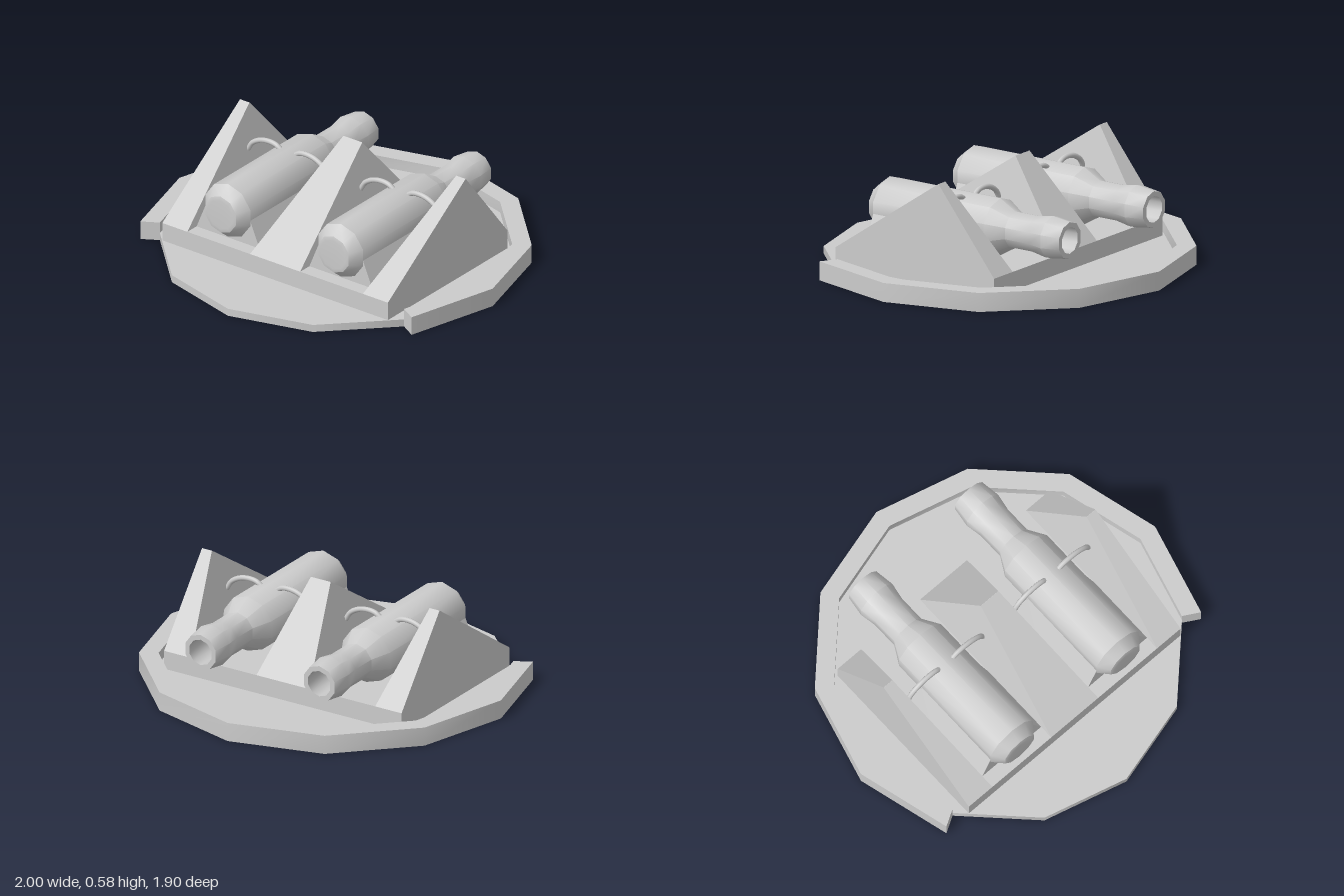
import * as THREE from 'three';
import { toCreasedNormals } from 'three/addons/utils/BufferGeometryUtils.js';

const CENTRE_Z = 0.05;

// Block from a bottom and a top rectangle, each [x0, x1, z0, z1]
function taperedBlock(bottom, top, y0, y1) {
  const geometry = new THREE.BoxGeometry(1, 1, 1);
  const p = geometry.attributes.position;
  for (let i = 0; i < p.count; i++) {
    const up = p.getY(i) > 0;
    const r = up ? top : bottom;
    p.setXYZ(i, r[p.getX(i) > 0 ? 1 : 0], up ? y1 : y0, r[p.getZ(i) > 0 ? 3 : 2]);
  }
  geometry.computeVertexNormals();
  return geometry;
}

// Rim channel, open below and at the front: outer wall, top, inner wall and two end caps
function rimGeometry() {
  const section = [[1, 0], [1, 0.1], [0.9, 0.1], [0.9, 0.04]];
  const steps = 8;
  const positions = [];
  const index = [];
  const quad = (a, b, c, d) => index.push(a, b, c, a, c, d);
  for (let i = 0; i <= steps; i++) {
    const a = ((i - 1) * Math.PI) / 6;
    for (const [r, y] of section) positions.push(r * Math.cos(a), y, CENTRE_Z - r * Math.sin(a));
    if (i === steps) continue;
    for (let k = i * 4; k < i * 4 + 3; k++) quad(k, k + 4, k + 5, k + 1);
  }
  // End caps, reaching down to the ground
  for (const i of [0, steps]) {
    const a = ((i - 1) * Math.PI) / 6;
    const foot = positions.length / 3;
    positions.push(0.9 * Math.cos(a), 0, CENTRE_Z - 0.9 * Math.sin(a));
    if (i === 0) quad(0, 1, 2, foot);
    else quad(foot, i * 4 + 2, i * 4 + 1, i * 4);
  }
  const geometry = new THREE.BufferGeometry();
  geometry.setAttribute('position', new THREE.Float32BufferAttribute(positions, 3));
  geometry.setIndex(index);
  geometry.computeVertexNormals();
  return toCreasedNormals(geometry, 0.56);
}

export function createModel() {
  const group = new THREE.Group();
  const flat = new THREE.MeshStandardMaterial({ color: 0xcccccc, flatShading: true });
  const smooth = new THREE.MeshStandardMaterial({ color: 0xcccccc });
  const open = new THREE.MeshStandardMaterial({ color: 0xcccccc, side: THREE.DoubleSide });

  const add = (geometry, name, material = flat) => {
    const mesh = new THREE.Mesh(geometry, material);
    mesh.name = name;
    group.add(mesh);
  };

  // Twelve-sided floor, hollow below, with a skirt at the front and a raised rim around the rest
  const floor = new THREE.CircleGeometry(0.9, 12);
  floor.rotateX(-Math.PI / 2).translate(0, 0.04, CENTRE_Z);
  add(floor, 'floorPlate', open);
  const skirt = new THREE.CylinderGeometry(0.9, 0.9, 0.04, 4, 1, true, -Math.PI / 3, (2 * Math.PI) / 3);
  skirt.translate(0, 0.02, CENTRE_Z);
  add(skirt, 'frontSkirt', open);
  add(rimGeometry(), 'rim', open);

  // Rack base
  const base = [-0.72, 0.72, -0.44, 0.557];
  add(taperedBlock(base, base, 0.041, 0.14), 'rackBase');

  // Triangular dividers, narrowing to the peak
  const divider = (x0, x1, top0, top1, name) =>
    add(taperedBlock([x0, x1, -0.44, 0.557], [top0, top1, -0.0905, -0.0895], 0.14, 0.58), name);
  divider(-0.16, 0.16, -0.06, 0.06, 'centreDivider');
  divider(0.56, 0.72, 0.66, 0.72, 'leftDivider');
  divider(-0.72, -0.56, -0.72, -0.66, 'rightDivider');

  // Bottle profile as [radius, distance towards the mouth]: dished bottom, hollow neck
  const profile = [
    [0, -0.525], [0.08, -0.545], [0.102, -0.54], [0.15, -0.48], [0.15, 0.215], [0.096, 0.31], [0.096, 0.455],
    [0.112, 0.545], [0.097, 0.652], [0.07, 0.652], [0.07, 0.42], [0, 0.42],
  ].map(([r, h]) => new THREE.Vector2(r, h));

  // Spring clip arm, from a divider over to the top of the bottle
  const clipPath = [[0.255, 0.36], [0.225, 0.405], [0.17, 0.436], [0.11, 0.444], [0.07, 0.436], [0.045, 0.418]];

  for (const side of [-1, 1]) {
    const label = side > 0 ? 'left' : 'right';
    const x = side * 0.36;

    // Support under the bottle, narrowing upwards
    add(taperedBlock([x - 0.2, x + 0.2, 0.08, 0.48], [x - 0.13, x + 0.13, -0.08, 0.48], 0.14, 0.31),
      label + 'Support');

    const bottle = toCreasedNormals(new THREE.LatheGeometry(profile, 10), 0.65);
    bottle.rotateX(-Math.PI / 2).translate(x, 0.295, 0);
    add(bottle, label + 'Bottle', smooth);

    for (const arm of [-1, 1]) {
      const curve = new THREE.CatmullRomCurve3(
        clipPath.map(([dx, y]) => new THREE.Vector3(x + arm * dx, y, -0.02)));
      add(new THREE.TubeGeometry(curve, 14, 0.014, 8), label + 'Clip' + (arm > 0 ? 'ArmA' : 'ArmB'), smooth);
    }
  }
  return group;
}
